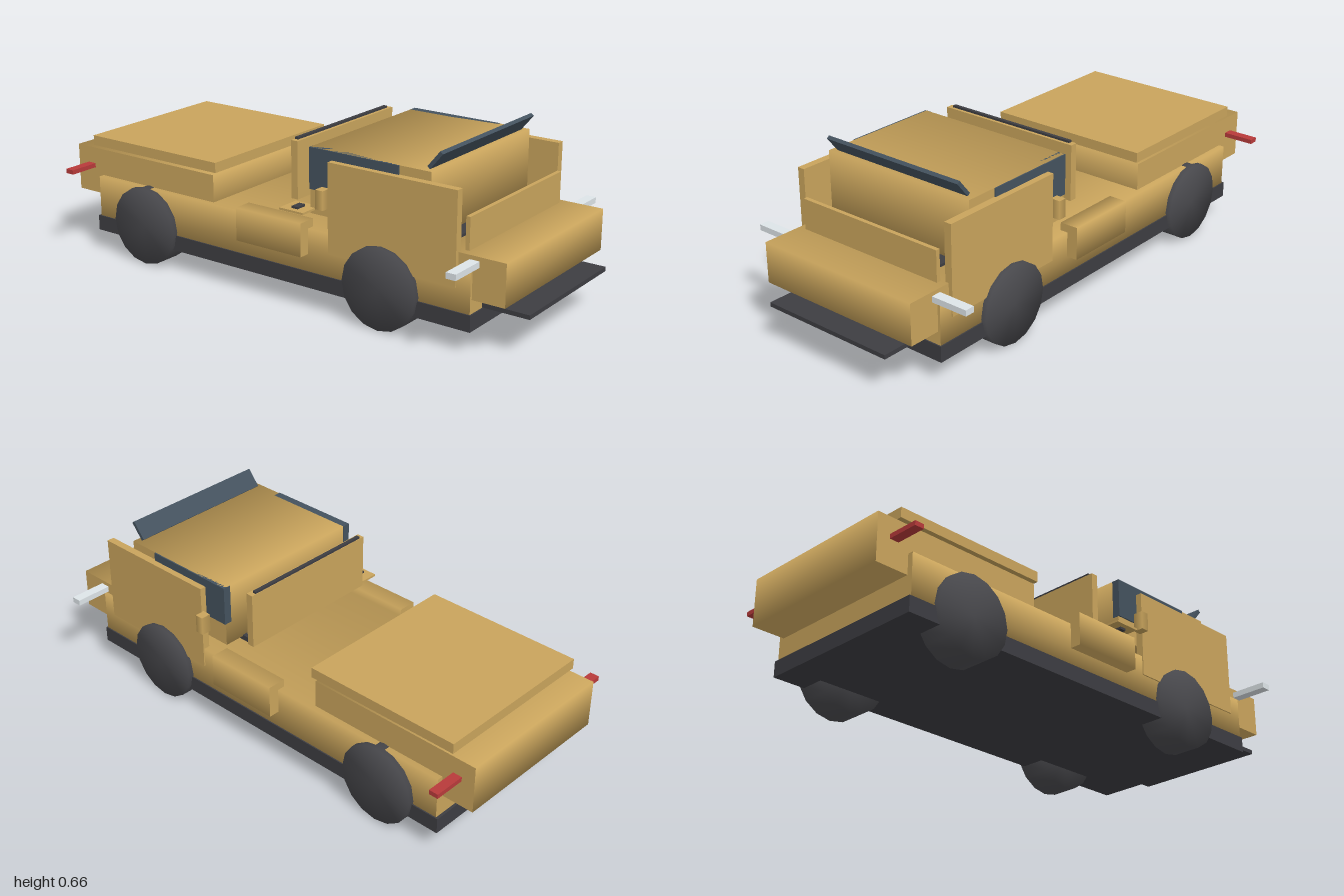
import * as THREE from 'three';
import { mergeVertices } from 'three/addons/utils/BufferGeometryUtils.js';

const mat = (color) => new THREE.MeshStandardMaterial({ color });

export function createModel() {
  const model = new THREE.Group();
  const tan = mat(0xc9a45c), dark = mat(0x3d3d42), tyre = mat(0x48484c);
  const glass = mat(0x44525e), red = mat(0xb83a3a), white = mat(0xdde4e8);

  // Box given by its limits; softAxis rounds the shading around that axis
  function box(name, material, [x0, x1], [y0, y1], [z0, z1], softAxis) {
    const geo = new THREE.BoxGeometry(x1 - x0, y1 - y0, z1 - z0);
    if (softAxis) {
      const p = geo.attributes.position, n = geo.attributes.normal;
      const v = new THREE.Vector3(), q = new THREE.Vector3();
      for (let i = 0; i < p.count; i++) {
        q.fromBufferAttribute(n, i);
        if (Math.abs(q[softAxis]) > 0.5) continue; // end caps stay flat
        v.fromBufferAttribute(p, i);
        v.set(Math.sign(v.x), Math.sign(v.y), Math.sign(v.z));
        v[softAxis] = 0;
        v.normalize();
        n.setXYZ(i, v.x, v.y, v.z);
      }
    }
    const mesh = new THREE.Mesh(geo, material);
    mesh.name = name;
    mesh.position.set((x0 + x1) / 2, (y0 + y1) / 2, (z0 + z1) / 2);
    model.add(mesh);
    return mesh;
  }

  // The same box on both sides
  function pair(name, material, [a, b], y, z, softAxis) {
    box(name + 'Left', material, [a, b], y, z, softAxis);
    box(name + 'Right', material, [-b, -a], y, z, softAxis);
  }

  // Chassis and lower body
  box('chassis', dark, [-0.355, 0.355], [0.08, 0.14], [-0.88, 0.825]);
  box('lowerBody', tan, [-0.35, 0.35], [0.14, 0.3], [-0.87, 0.82], 'z');

  // Front end
  box('nose', tan, [-0.34, 0.34], [0.19, 0.345], [0.6, 0.945], 'x');
  box('frontPanel', tan, [-0.31, 0.31], [0.34, 0.462], [0.772, 0.788]);
  box('frontBumper', dark, [-0.273, 0.273], [0.142, 0.158], [0.68, 1]);

  // Cab, its floor, doors and side windows
  box('cabFloor', dark, [-0.245, 0.245], [0.335, 0.355], [0.09, 0.7]);
  box('cab', tan, [-0.326, 0.326], [0.35, 0.592], [0.148, 0.645], 'x');
  pair('sideWindow', glass, [0.3, 0.331], [0.44, 0.592], [0.147, 0.52]);
  pair('door', tan, [0.326, 0.355], [0.225, 0.56], [0.245, 0.765]);
  pair('mirror', tan, [0.345, 0.384], [0.392, 0.463], [0.212, 0.245], 'y');

  // Tilted sun visor above the cab front
  const visor = box('sunVisor', glass, [-0.302, 0.302], [0.587, 0.664], [0.636, 0.65]);
  visor.rotation.x = 0.69;

  // Panel behind the cab with its dark trim
  box('rearCabPanel', tan, [-0.295, 0.295], [0.375, 0.59], [0.04, 0.068]);
  box('rearCabTrim', dark, [-0.275, 0.275], [0.575, 0.598], [0.042, 0.056]);

  // Side tanks, and the filler flap on the right
  pair('sideTank', tan, [0.32, 0.393], [0.205, 0.33], [-0.138, 0.155], 'z');
  box('fillerFlap', tan, [-0.395, -0.3], [0.364, 0.372], [0.063, 0.167]);
  box('fillerCap', dark, [-0.374, -0.33], [0.355, 0.38], [0.102, 0.128]);

  // Rear load box and its raised lid
  box('loadBox', tan, [-0.328, 0.328], [0.223, 0.405], [-1, -0.3], 'x');
  box('loadLid', tan, [-0.332, 0.332], [0.417, 0.456], [-0.91, -0.285]);

  // Lamps
  pair('headlamp', white, [0.33, 0.485], [0.308, 0.33], [0.807, 0.845]);
  pair('tailLamp', red, [0.32, 0.45], [0.324, 0.341], [-0.948, -0.912]);

  // Wheels with soft shading over the rims
  let wheelGeo = new THREE.CylinderGeometry(0.152, 0.152, 0.11, 16).rotateZ(Math.PI / 2);
  wheelGeo.deleteAttribute('normal');
  wheelGeo.deleteAttribute('uv');
  wheelGeo = mergeVertices(wheelGeo);
  wheelGeo.computeVertexNormals();
  for (const [end, z] of [['front', 0.468], ['rear', -0.62]]) {
    for (const s of [1, -1]) {
      const wheel = new THREE.Mesh(wheelGeo, tyre);
      wheel.name = end + 'Wheel' + (s > 0 ? 'Left' : 'Right');
      wheel.position.set(s * 0.316, 0.152, z);
      model.add(wheel);
    }
  }
  return model;
}
